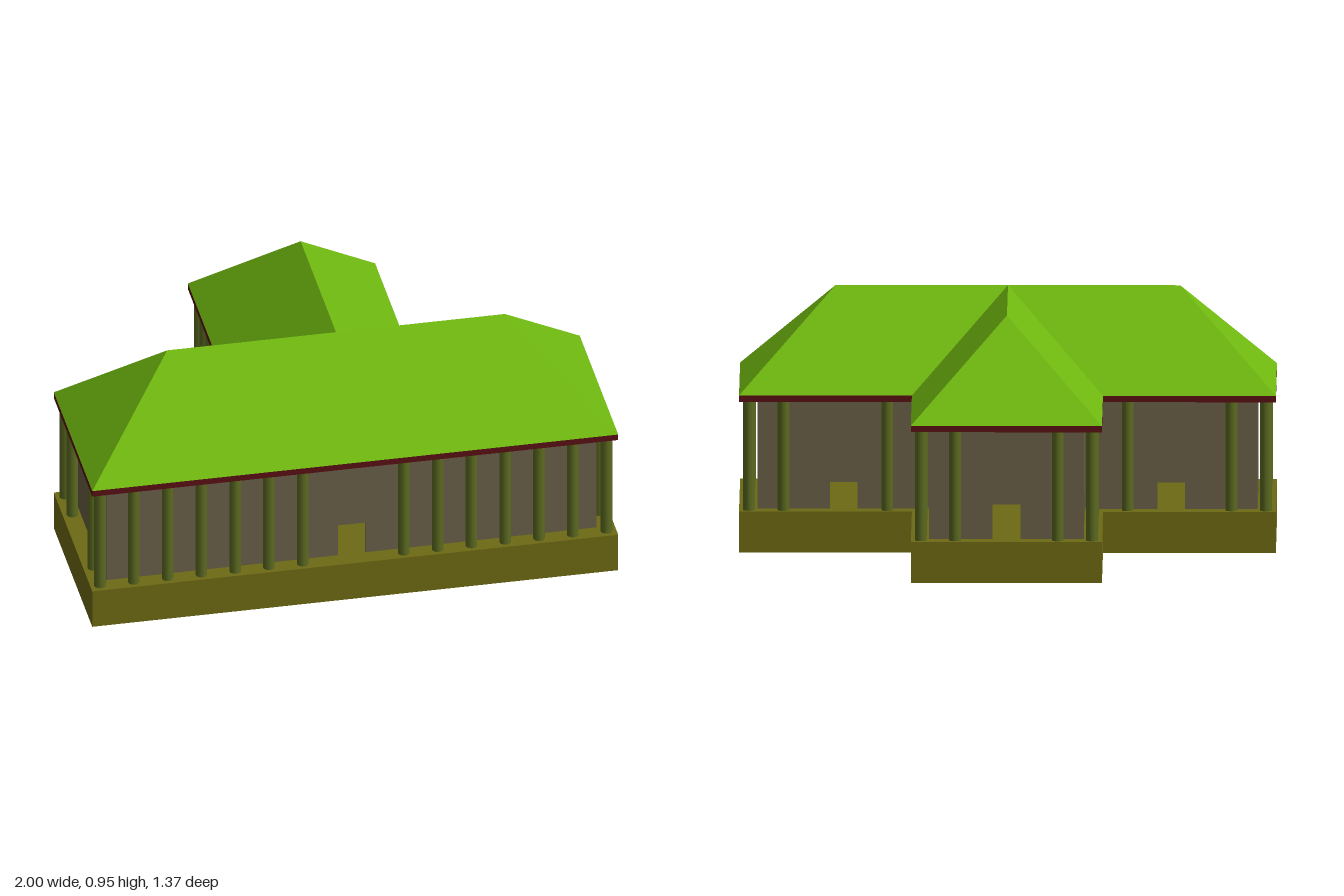
import * as THREE from 'three';

const BASE_TOP = 0.155, EAVE_LOW = 0.57, EAVE_TOP = 0.594, RIDGE = 0.95;

// T-shaped outline [x, z], counter-clockwise seen from above, moved inwards by d
const outline = (d) => [
  [-1 + d, 0.685 - d], [1 - d, 0.685 - d], [1 - d, -0.03 + d], [0.356 - d, -0.03 + d],
  [0.356 - d, -0.685 + d], [-0.356 + d, -0.685 + d], [-0.356 + d, -0.03 + d], [-1 + d, -0.03 + d],
];

const material = (color, extra = {}) => new THREE.MeshStandardMaterial({ color, ...extra });

function addMesh(parent, name, geometry, mat) {
  const mesh = new THREE.Mesh(geometry, mat);
  mesh.name = name;
  parent.add(mesh);
  return mesh;
}

// Flat T-shaped slab between two heights
function slab(y0, y1) {
  const shape = new THREE.Shape(outline(0).map(([x, z]) => new THREE.Vector2(x, -z)));
  const geometry = new THREE.ExtrudeGeometry(shape, { depth: y1 - y0, bevelEnabled: false });
  return geometry.rotateX(-Math.PI / 2).translate(0, y0, 0);
}

// Hipped roof over the T, one polygon per roof plane
function roofGeometry() {
  const points = [
    ...outline(0).map(([x, z]) => [x, EAVE_TOP, z]),
    [-0.642, RIDGE, 0.3275], [0.642, RIDGE, 0.3275], [0, RIDGE, 0.3275], [0, RIDGE, -0.33],
  ];
  const planes = [
    [0, 1, 9, 8], [1, 2, 9], [2, 3, 10, 9], [3, 4, 11, 10],
    [4, 5, 11], [5, 6, 10, 11], [6, 7, 8, 10], [7, 0, 8],
  ];
  const positions = [];
  for (const p of planes) {
    for (let i = 1; i < p.length - 1; i++) {
      for (const k of [p[0], p[i], p[i + 1]]) positions.push(...points[k]);
    }
  }
  const geometry = new THREE.BufferGeometry();
  geometry.setAttribute('position', new THREE.Float32BufferAttribute(positions, 3));
  geometry.computeVertexNormals();
  return geometry;
}

// Thin wall panel with a doorway in the middle, its outer face at z = 0
function wallGeometry(length) {
  const t = 0.008, w = length / 2, door = 0.052, doorTop = 0.13, h = EAVE_LOW - BASE_TOP;
  const shape = new THREE.Shape([
    [-w, 0], [-door, 0], [-door, doorTop], [door, doorTop], [door, 0], [w, 0], [w, h], [-w, h],
  ].map(([x, y]) => new THREE.Vector2(x, y)));
  return new THREE.ExtrudeGeometry(shape, { depth: t, bevelEnabled: false }).translate(0, 0, -t);
}

export function createModel() {
  const model = new THREE.Group();
  model.name = 'house';

  addMesh(model, 'platform', slab(0, BASE_TOP), material(0x6e6a14));
  addMesh(model, 'eaves', slab(EAVE_LOW, EAVE_TOP), material(0x5a1014));
  addMesh(model, 'roof', roofGeometry(), material(0x6fb810, { flatShading: true }));

  // Walls, one per side of the T
  const walls = new THREE.Group();
  walls.name = 'walls';
  model.add(walls);
  const wallMat = material(0x6a6048);
  const wallLine = outline(0.068);
  wallLine.forEach(([x0, z0], i) => {
    const [x1, z1] = wallLine[(i + 1) % wallLine.length];
    const wall = addMesh(walls, 'wall', wallGeometry(Math.hypot(x1 - x0, z1 - z0)), wallMat);
    wall.position.set((x0 + x1) / 2, BASE_TOP, (z0 + z1) / 2);
    wall.rotation.y = Math.atan2(z0 - z1, x1 - x0);
  });

  // Colonnade: evenly spaced along each side, left open in front of each door
  const columns = new THREE.Group();
  columns.name = 'columns';
  model.add(columns);
  const columnMat = material(0x5c6a20);
  const columnGeo = new THREE.CylinderGeometry(0.022, 0.022, EAVE_LOW - BASE_TOP, 12);
  const columnLine = outline(0.037);
  columnLine.forEach(([x0, z0], i) => {
    const [x1, z1] = columnLine[(i + 1) % columnLine.length];
    const spans = Math.ceil(Math.hypot(x1 - x0, z1 - z0) / 0.13);
    const n = (i === 3 || i === 5) ? 6 : spans;
    for (let k = 0; k < n; k++) {
      if (Math.abs(k - n / 2) < 0.75) continue;
      const column = addMesh(columns, 'column', columnGeo, columnMat);
      column.position.set(
        x0 + (x1 - x0) * k / n, (BASE_TOP + EAVE_LOW) / 2, z0 + (z1 - z0) * k / n);
    }
  });

  return model;
}
